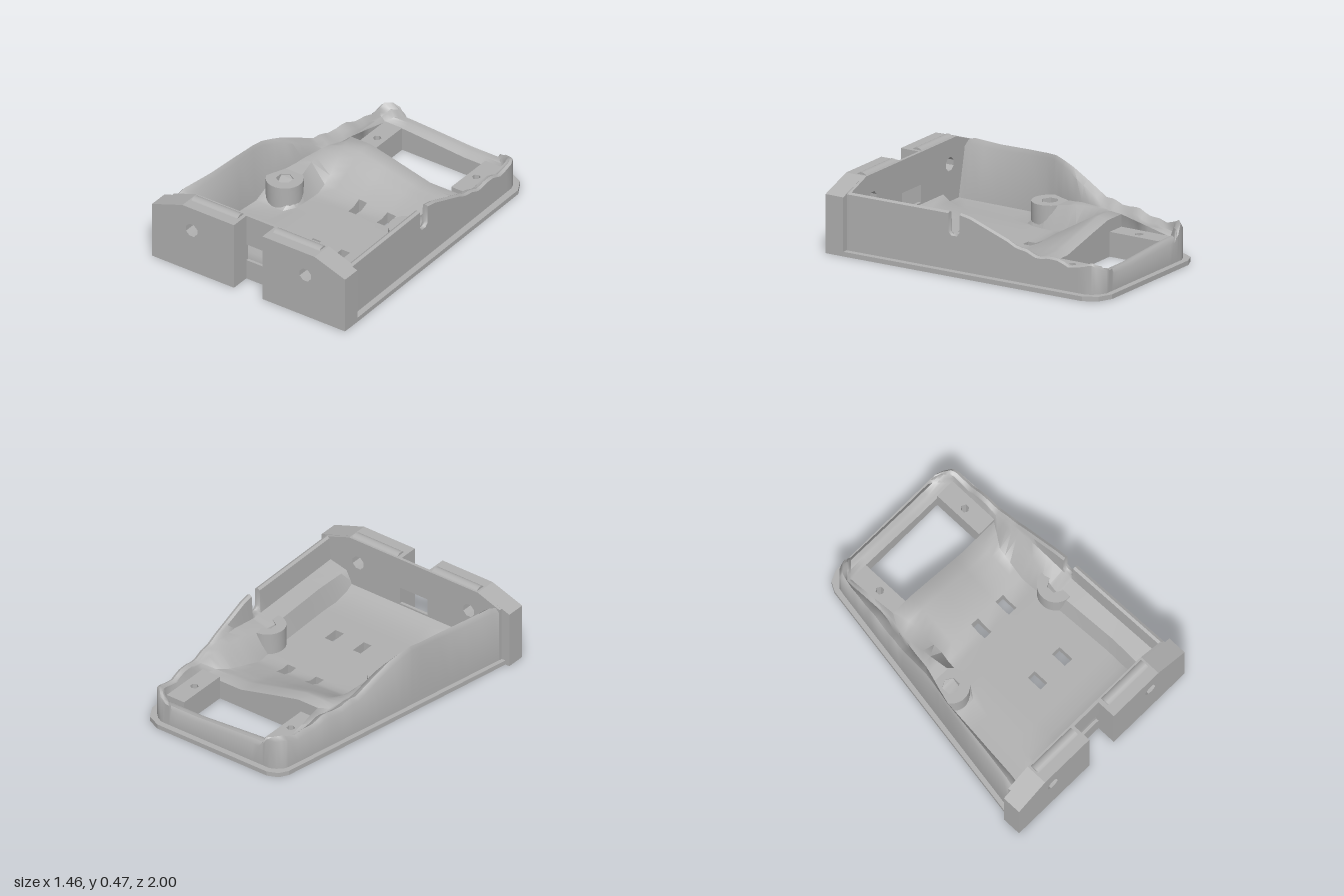
import * as THREE from 'three';
import { toCreasedNormals } from 'three/addons/utils/BufferGeometryUtils.js';

const grey = new THREE.MeshStandardMaterial({ color: 0xb0b0b0, side: THREE.DoubleSide });
grey.name = 'grey plastic';

// Linear lookup in a table of [z, value] pairs, z falling
function at(table, z) {
  if (z >= table[0][0]) return table[0][1];
  for (let i = 1; i < table.length; i++) {
    const [z0, v0] = table[i - 1], [z1, v1] = table[i];
    if (z >= z1) return v0 + (v1 - v0) * (z0 - z) / (z0 - z1);
  }
  return table[table.length - 1][1];
}

const poly = (pts, Type = THREE.Shape) => new Type(pts.map(p => new THREE.Vector2(p[0], p[1])));
const rect = (x0, x1, y0, y1) => poly([[x0, y0], [x1, y0], [x1, y1], [x0, y1]], THREE.Path);
function ring(cx, cy, r, n, Type = THREE.Path) {
  const pts = [];
  for (let i = 0; i < n; i++) {
    const a = (i + 0.5) / n * Math.PI * 2;
    pts.push([cx + r * Math.cos(a), cy + r * Math.sin(a)]);
  }
  return poly(pts, Type);
}
function extrude(shape, depth) {
  return new THREE.ExtrudeGeometry(shape, { depth, bevelEnabled: false });
}
// Plan shapes are drawn with shape y = -z and raised from y0 to y1
function slab(shape, y0, y1) {
  return extrude(shape, y1 - y0).rotateX(-Math.PI / 2).translate(0, y0, 0);
}

const SLOTS_X = [[0.02, 0.08], [0.235, 0.3]];
const SLOTS_Z = [[-0.14, -0.025], [0.345, 0.455]];
const inside = (v, [a, b]) => v > a && v < b;

// Body rules along z (L is the -x side, R the +x side)
const outerL = [[0.87, -0.67], [-0.86, -0.37], [-0.9, -0.36], [-0.94, -0.32], [-0.96, -0.28]];
const outerR = [[0.87, 0.69], [-0.86, 0.655], [-0.9, 0.64], [-0.94, 0.6], [-0.96, 0.56]];
const rimL = [[0.86, 0.4], [0.8, 0.425], [0.58, 0.43], [0.345, 0.445], [0.13, 0.455], [0, 0.425], [-0.14, 0.36],
  [-0.3, 0.28], [-0.43, 0.265], [-0.58, 0.26], [-0.8, 0.22], [-0.86, 0.25], [-0.9, 0.265], [-0.94, 0.25], [-0.96, 0.22]];
const rimR = [[0.86, 0.4], [0.131, 0.4], [0.13, 0.28], [0.11, 0.26], [0.07, 0.26], [0.05, 0.28], [0.049, 0.4], [0, 0.395],
  [-0.3, 0.285], [-0.5, 0.215], [-0.58, 0.23], [-0.74, 0.2], [-0.86, 0.21], [-0.9, 0.225], [-0.96, 0.19]];
const wallL = [[0.86, 0.07], [0.455, 0.04], [0.2, 0.018], [0.1, 0.03], [-0.1, 0.07]];
const shelfYL = [[0.86, 0.06], [0.2, 0.06], [0.131, 0.12], [0.05, 0.2], [-0.14, 0.23], [-0.35, 0.23], [-0.5, 0.2],
  [-0.86, 0.18], [-0.9, 0.23], [-0.94, 0.23], [-0.96, 0.19]];
const shelfYR = [[0.86, 0.21], [0.05, 0.2], [-0.14, 0.23], [-0.35, 0.23], [-0.5, 0.2], [-0.86, 0.18], [-0.96, 0.18]];
const floorY = [[0.86, 0.13], [0.8, 0.09], [0.7, 0.065], [-0.08, 0.065], [-0.14, 0.09], [-0.35, 0.18], [-0.43, 0.205],
  [-0.5, 0.19], [-0.86, 0.14], [-0.9, 0.17], [-0.94, 0.175], [-0.96, 0.15]];
const shelfL = [[0.86, -0.4], [0.1, -0.3], [-0.14, -0.34], [-0.35, -0.36], [-0.5, -0.32], [-0.86, -0.32], [-0.96, -0.22]];
const shelfR = [[0.86, 0.52], [0.6, 0.53], [0.1, 0.51], [-0.14, 0.56], [-0.5, 0.61], [-0.86, 0.61], [-0.96, 0.5]];
const stepWidth = [[0.86, 0.04], [0.1, 0.04], [-0.14, 0.1], [-0.35, 0.1], [-0.5, 0.02]];
const saddle = [[-0.05, 0], [-0.4, 1], [-0.5, 1], [-0.86, 0.3], [-0.96, 0.2]];

// One cross-section of the moulded tray, from right foot over the bowl to left foot
function section(z) {
  const xl = at(outerL, z), xr = at(outerR, z), sl = at(shelfL, z), sr = at(shelfR, z);
  const wave = z < -0.3 ? 0.008 * Math.sin(z * 31) : 0;
  const yl = at(rimL, z) + wave, yr = at(rimR, z) - wave;
  const ysL = at(shelfYL, z), ysR = Math.min(at(shelfYR, z), yr - 0.01);
  const yf = at(floorY, z), step = at(stepWidth, z), thick = at(wallL, z);
  const outL = Math.min(Math.max(-0.53, xl + thick + 0.02), sl - 0.01);
  const inL = Math.min(xl + thick, outL - 0.008);
  // The saddle in front of the rear opening falls towards +x
  const tilt = x => at(saddle, z) * THREE.MathUtils.clamp(0.04 - 0.25 * (x + 0.1), -0.06, 0.05);
  const floor = [sl + step, -0.15, 0.02, 0.08, 0.235, 0.3, 0.42, sr - step];
  return [
    [xl, 0.02], [xl, yl - 0.03], [xl + Math.min(0.025, thick * 0.5), yl], [inL, yl - 0.03],
    [outL, Math.min(ysL, yl - 0.035)], [sl, ysL],
    ...floor.map(x => [x, yf + tilt(x)]),
    [sr, ysR], [xr - 0.045, Math.min(ysR + 0.03, yr - 0.01)], [xr - 0.035, yr - 0.01],
    [xr - 0.018, yr], [xr, yr - 0.01], [xr, 0.02],
  ].map(([x, y]) => [x, y, z]);
}

function trayGeometry() {
  const zs = [0.86, 0.8, 0.7, 0.58, 0.455, 0.345, 0.2, 0.131, 0.13, 0.11, 0.07, 0.05, 0.049, -0.025, -0.08, -0.14, -0.2,
    -0.25, -0.3, -0.35, -0.39, -0.43, -0.5, -0.54, -0.58, -0.62, -0.66, -0.7, -0.74, -0.8, -0.86, -0.88, -0.9, -0.92,
    -0.94, -0.96];
  const rows = zs.map(section);
  rows.push(rows[rows.length - 1].map(([x, , z]) => [x, 0.02, z]));
  const pos = [];
  const quad = (a, b, c, d) => pos.push(...a, ...b, ...c, ...a, ...c, ...d);
  // Open cells: the rear pocket and the four floor slots
  const open = (i, j) => {
    if (i < 0 || j < 6 || j > 12 || i >= zs.length - 1) return false;
    const z = (zs[i] + zs[i + 1]) / 2, x = (rows[i][j][0] + rows[i][j + 1][0]) / 2;
    if (inside(z, [-0.86, -0.5])) return true;
    return SLOTS_Z.some(s => inside(z, s)) && SLOTS_X.some(s => inside(x, s));
  };
  const drop = (a, b) => quad(a, b, [b[0], 0.02, b[2]], [a[0], 0.02, a[2]]);
  for (let i = 0; i < rows.length - 1; i++) {
    for (let j = 0; j < rows[0].length - 1; j++) {
      const a = rows[i][j], b = rows[i][j + 1], c = rows[i + 1][j + 1], d = rows[i + 1][j];
      if (!open(i, j)) { quad(a, b, c, d); continue; }
      if (!open(i - 1, j)) drop(b, a);
      if (!open(i + 1, j)) drop(d, c);
      if (!open(i, j - 1)) drop(a, d);
      if (!open(i, j + 1)) drop(c, b);
    }
  }
  const g = new THREE.BufferGeometry();
  g.setAttribute('position', new THREE.Float32BufferAttribute(pos, 3));
  return toCreasedNormals(g, 0.9);
}

export function createModel() {
  const model = new THREE.Group();
  model.name = 'tray';
  const add = (name, geometry) => {
    const mesh = new THREE.Mesh(geometry, grey);
    mesh.name = name;
    model.add(mesh);
    return mesh;
  };

  // Base plate with notch, slots, rear opening and screw holes
  const plate = poly([[-0.73, -1], [-0.11, -1], [-0.11, -0.87], [0.105, -0.87], [0.105, -1], [0.73, -1], [0.73, -0.87],
    [0.70, 0.87], [0.65, 0.96], [0.56, 1], [-0.29, 1], [-0.36, 0.97], [-0.395, 0.91], [-0.70, -0.87], [-0.73, -0.87]]);
  plate.holes.push(rect(-0.17, 0.46, 0.5, 0.86), ring(-0.23, 0.68, 0.027, 6), ring(0.52, 0.68, 0.027, 6));
  for (const [x0, x1] of SLOTS_X) for (const [z0, z1] of SLOTS_Z) plate.holes.push(rect(x0, x1, -z1, -z0));
  add('basePlate', slab(plate, 0, 0.03));

  // Moulded walls, shelves and floor
  add('mouldedBody', trayGeometry());

  // Screw ledges either side of the rear opening
  for (const [name, x0, x1, cx] of [['rightLedge', -0.3, -0.17, -0.23], ['leftLedge', 0.46, 0.595, 0.52]]) {
    const shape = poly([[x0, 0.5], [x1, 0.5], [x1, 0.86], [x0, 0.86]]);
    shape.holes.push(ring(cx, 0.68, 0.027, 6));
    add(name, slab(shape, 0.02, 0.16));
  }

  // Round bosses with hexagonal sockets
  for (const [name, x] of [['rightBoss', -0.385], ['leftBoss', 0.54]]) {
    const shape = ring(x, -0.08, 0.118, 24, THREE.Shape);
    shape.holes.push(ring(x, -0.08, 0.055, 6));
    add(name, toCreasedNormals(slab(shape, 0.03, 0.21), 0.5));
  }

  // Thin front wall with a window and two bolt holes
  const wall = poly([[-0.67, 0], [0.69, 0], [0.69, 0.39], [0.5, 0.46], [-0.5, 0.46], [-0.67, 0.4]]);
  wall.holes.push(rect(-0.11, 0.105, 0.135, 0.25), ring(-0.43, 0.3, 0.046, 8), ring(0.43, 0.3, 0.046, 8));
  add('frontWall', extrude(wall, 0.02).translate(0, 0, 0.85));

  // Front blocks with sloping shoulders and low rounded ridges
  for (const [name, s, inner] of [['left', 1, 0.105], ['right', -1, 0.11]]) {
    const block = poly([[inner, 0], [0.73, 0], [0.73, 0.38], [0.5, 0.46], [inner, 0.46]].map(([x, y]) => [s * x, y]));
    block.holes.push(ring(s * 0.43, 0.3, 0.046, 8));
    add(name + 'FrontBlock', extrude(block, 0.13).translate(0, 0, 0.87));
    const ridge = add(name + 'Ridge', new THREE.CylinderGeometry(0.045, 0.045, 0.35, 20).rotateZ(Math.PI / 2));
    ridge.position.set(s * 0.31, 0.43, 0.895);
  }
  return model;
}
